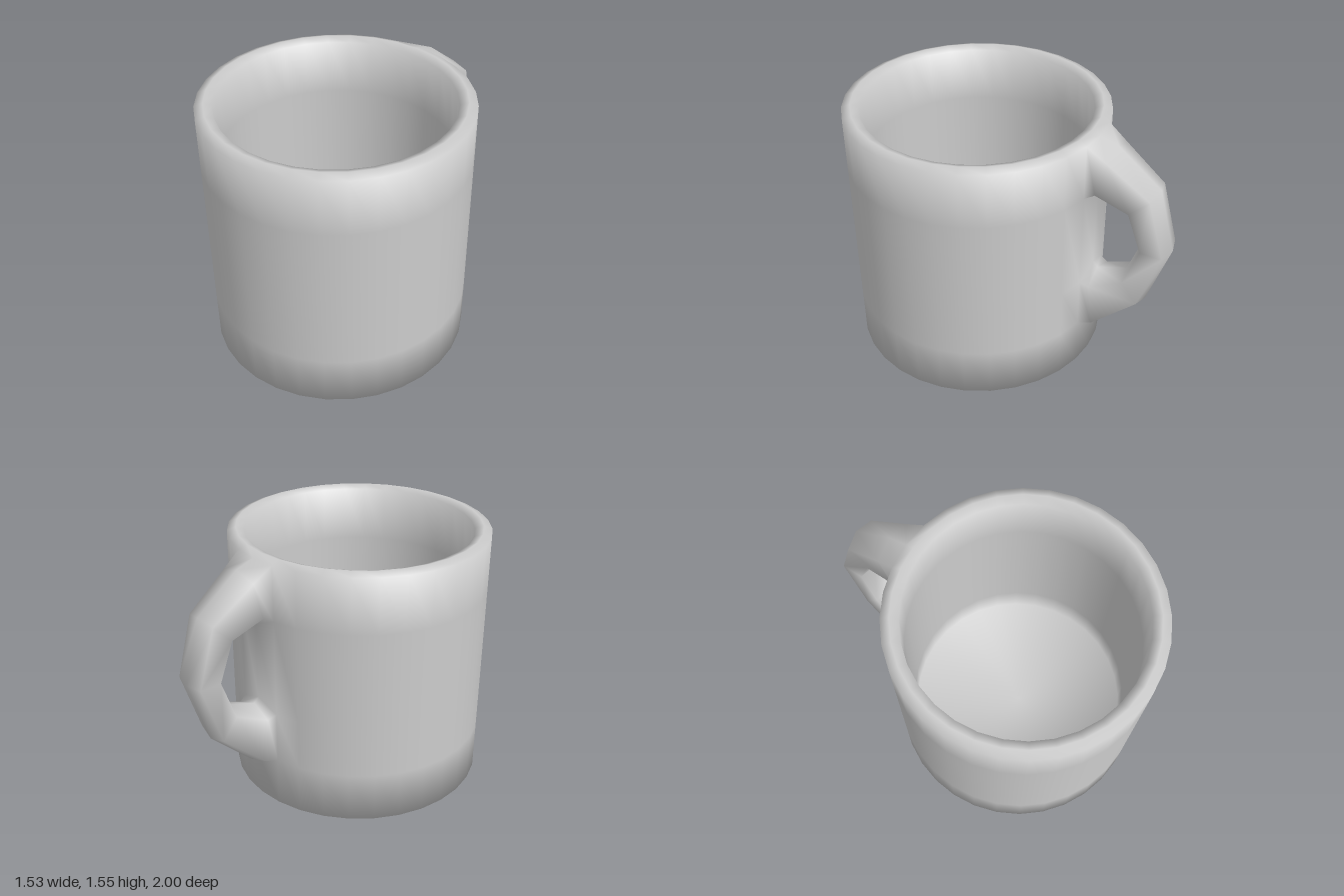
import * as THREE from 'three';

const SEG = 32;
const CENTER_Z = 0.235;

// Body cross-section [radius, y]: base centre, outer wall, rim, inner wall, floor centre
const PROFILE = [
  [0, 0], [0.765, 0], [0.765, 0.3], [0.765, 0.61], [0.765, 1.2], [0.765, 1.53],
  [0.715, 1.55], [0.665, 1.53], [0.665, 1.2], [0.665, 0.3], [0.665, 0.1], [0, 0.1],
];
const LOWER = 2, UPPER = 4; // wall bands the handle grows out of

// Handle sections: outer [z, y], inner [z, y], half width
const HANDLE = [
  [[-0.64, 1.49], [-0.56, 1.19], 0.135],
  [[-0.90, 1.29], [-0.74, 1.13], 0.11],
  [[-1.00, 0.92], [-0.82, 0.92], 0.105],
  [[-0.87, 0.53], [-0.74, 0.70], 0.11],
  [[-0.60, 0.27], [-0.56, 0.64], 0.135],
];

// Smooth normals weighted by corner angle
function smoothNormals(points, index) {
  const normals = points.map(() => new THREE.Vector3());
  for (let t = 0; t < index.length; t += 3) {
    const tri = index.slice(t, t + 3);
    const [a, b, c] = tri.map((i) => points[i]);
    const n = b.clone().sub(a).cross(c.clone().sub(a)).normalize();
    tri.forEach((v, k) => {
      const p = points[v];
      const e1 = points[tri[(k + 1) % 3]].clone().sub(p);
      const e2 = points[tri[(k + 2) % 3]].clone().sub(p);
      normals[v].addScaledVector(n, e1.angleTo(e2));
    });
  }
  return normals.map((n) => n.normalize());
}

export function createModel() {
  const points = [];
  const index = [];
  const add = (x, y, z) => points.push(new THREE.Vector3(x, y, z)) - 1;
  const quad = (a, b, c, d) => {
    for (const [p, q, r] of [[a, b, c], [a, c, d]]) {
      const [P, Q, R] = [points[p], points[q], points[r]];
      if (Q.clone().sub(P).cross(R.clone().sub(P)).length() > 1e-7) index.push(p, q, r);
    }
  };

  // Body rings; column 0 is at the back
  const at = (ring, col) => (PROFILE[ring][0] === 0
    ? poles[ring] : rings[ring][(col + SEG) % SEG]);
  const poles = {};
  const rings = PROFILE.map(([r, y], i) => {
    if (r === 0) { poles[i] = add(0, y, CENTER_Z); return []; }
    return Array.from({ length: SEG }, (_, j) => {
      const a = (j / SEG) * Math.PI * 2;
      return add(r * Math.sin(a), y, CENTER_Z - r * Math.cos(a));
    });
  });

  // Round the handle roots along the back line
  points[at(LOWER, 0)].y = 0.23;
  points[at(LOWER + 1, 0)].y = 0.67;
  points[at(UPPER, 0)].y = 1.14;

  // Body faces, left open where the handle joins
  for (let i = 0; i < PROFILE.length - 1; i++) {
    for (let j = 0; j < SEG; j++) {
      if ((i === LOWER || i === UPPER) && (j === 0 || j === SEG - 1)) continue;
      quad(at(i, j), at(i + 1, j), at(i + 1, j + 1), at(i, j + 1));
    }
  }

  // Handle: six-sided loops bridged from the upper opening to the lower one
  const opening = (outer, inner) => [
    at(outer, 0), at(outer, 1), at(inner, 1), at(inner, 0), at(inner, -1), at(outer, -1),
  ];
  const section = ([o, n, w]) => {
    const p = (x, t) => add(x, o[1] + (n[1] - o[1]) * t, o[0] + (n[0] - o[0]) * t);
    return [p(0, 0), p(w, 0.14), p(w, 0.86), p(0, 1), p(-w, 0.86), p(-w, 0.14)];
  };
  const loops = [
    opening(UPPER + 1, UPPER), ...HANDLE.map(section), opening(LOWER, LOWER + 1),
  ];
  for (let s = 0; s < loops.length - 1; s++) {
    const [L, M] = [loops[s], loops[s + 1]];
    for (let k = 0; k < 6; k++) {
      const n = (k + 1) % 6;
      quad(L[k], L[n], M[n], M[k]);
    }
  }

  // One continuous smooth surface
  const flat = (list) => list.flatMap((v) => [v.x, v.y, v.z]);
  const geometry = new THREE.BufferGeometry();
  geometry.setAttribute('position', new THREE.Float32BufferAttribute(flat(points), 3));
  geometry.setAttribute('normal',
    new THREE.Float32BufferAttribute(flat(smoothNormals(points, index)), 3));
  geometry.setIndex(index);

  const mug = new THREE.Mesh(geometry, new THREE.MeshStandardMaterial({ color: 0xcccccc }));
  mug.name = 'mugBodyAndHandle';
  const group = new THREE.Group();
  group.name = 'mug';
  group.add(mug);
  return group;
}
